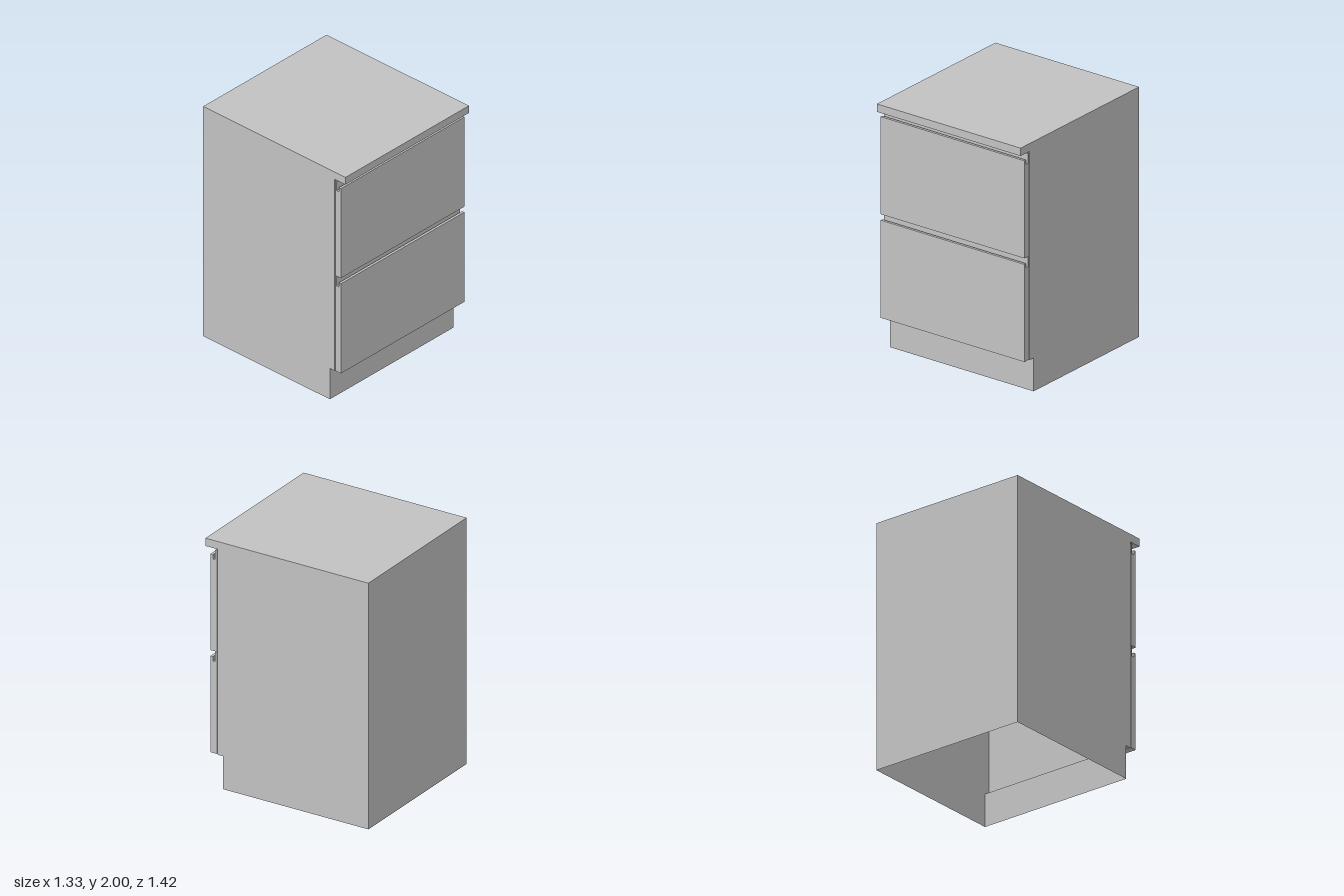
import * as THREE from 'three';

const HALF = 0.666; // half width of the whole cabinet

// Side outlines are lists of [z, y] points.
const toShape = (pts, s = 1) => new THREE.Shape(pts.map(([z, y]) => new THREE.Vector2(s * z, y)));

// Flat quads spanning the full width along an open outline
function strip(pts) {
  const pos = [];
  for (let i = 0; i < pts.length - 1; i++) {
    const [pz, py] = pts[i], [qz, qy] = pts[i + 1];
    const a = [-HALF, py, pz], b = [HALF, py, pz], c = [HALF, qy, qz], d = [-HALF, qy, qz];
    pos.push(...a, ...d, ...c, ...a, ...c, ...b);
  }
  const g = new THREE.BufferGeometry();
  g.setAttribute('position', new THREE.Float32BufferAttribute(pos, 3));
  g.computeVertexNormals();
  return g;
}

export function createModel() {
  const model = new THREE.Group();
  model.name = 'drawerCabinet';
  const grey = new THREE.MeshStandardMaterial({ color: 0xc2c2c2, side: THREE.DoubleSide });
  grey.name = 'lightGrey';

  const add = (name, geometry, parent = model) => {
    const mesh = new THREE.Mesh(geometry, grey);
    mesh.name = name;
    parent.add(mesh);
  };

  // Carcass: a thin shell, open underneath, with worktop lip and recessed plinth
  const body = [
    [-0.712, 0], [-0.712, 2], [0.712, 2], [0.712, 1.937],
    [0.604, 1.937], [0.604, 0.268], [0.556, 0.268], [0.556, 0],
  ];
  const carcass = new THREE.Group();
  carcass.name = 'carcass';
  model.add(carcass);
  add('backTopAndFront', strip(body), carcass);
  add('rightSide', new THREE.ShapeGeometry(toShape(body)).rotateY(-Math.PI / 2).translate(-HALF, 0, 0), carcass);
  add('leftSide', new THREE.ShapeGeometry(toShape(body, -1)).rotateY(Math.PI / 2).translate(HALF, 0, 0), carcass);

  // Drawer fronts with a finger groove along the top and a taller back lip
  const drawer = [
    [0.611, 0], [0.667, 0], [0.667, 0.781], [0.646, 0.781],
    [0.646, 0.745], [0.625, 0.745], [0.625, 0.825], [0.611, 0.825],
  ];
  [['lowerDrawerFront', 0.273], ['upperDrawerFront', 1.102]].forEach(([name, y]) => {
    const g = new THREE.ExtrudeGeometry(toShape(drawer), { depth: 2 * HALF, bevelEnabled: false });
    add(name, g.rotateY(-Math.PI / 2).translate(HALF, y, 0));
  });

  return model;
}
